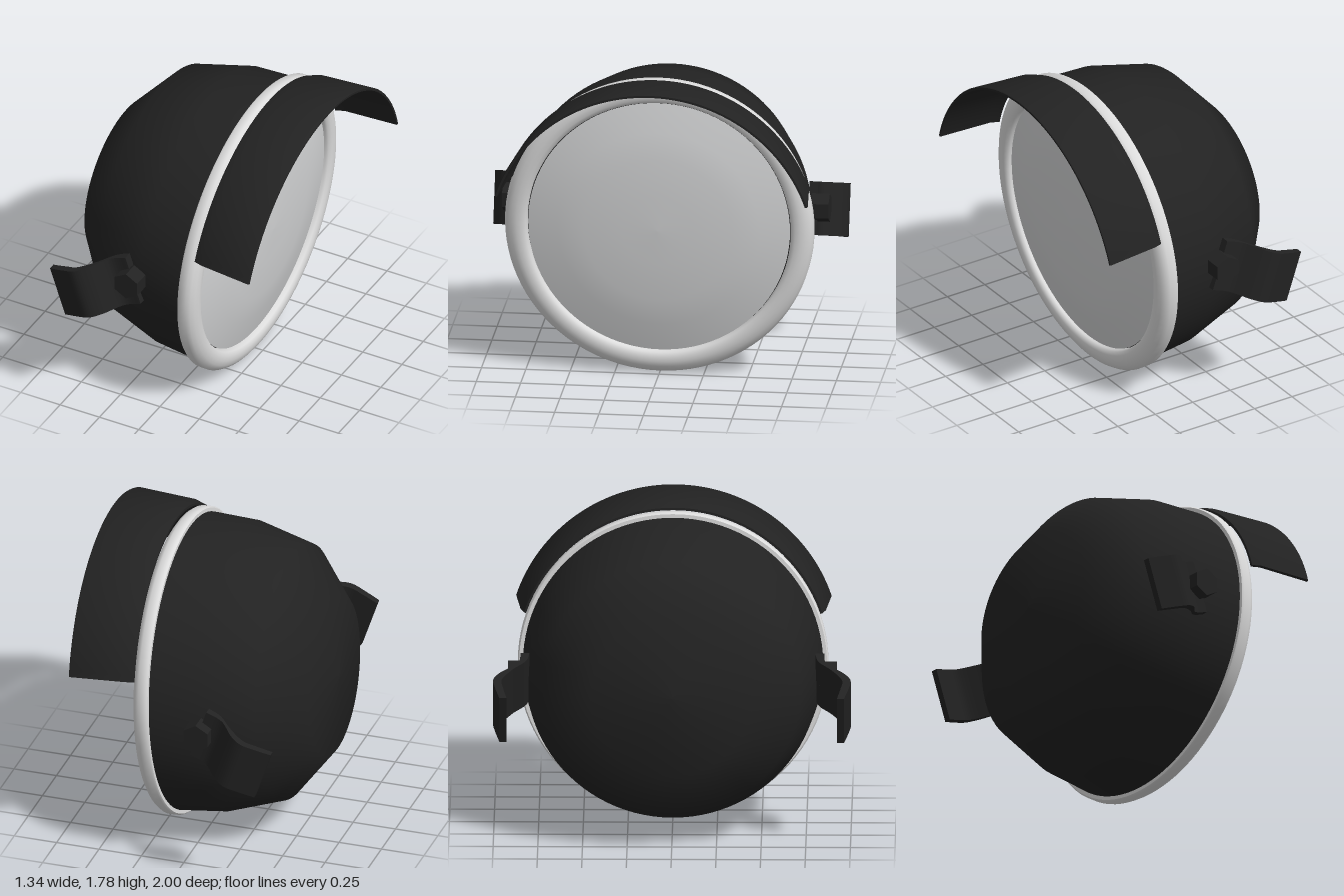
import * as THREE from 'three';
import { toCreasedNormals } from 'three/addons/utils/BufferGeometryUtils.js';

const TILT = -0.05; // the lamp looks slightly downward

function material(name, color) {
  const m = new THREE.MeshStandardMaterial({ color, side: THREE.DoubleSide });
  m.name = name;
  return m;
}

function addMesh(parent, name, geometry, mat) {
  const mesh = new THREE.Mesh(geometry, mat);
  mesh.name = name;
  parent.add(mesh);
  return mesh;
}

const toPoints = (list) => list.map(([a, b]) => new THREE.Vector2(a, b));

// Revolves (radius, along) points around the lamp axis, which runs along +x
function revolve(list, segments = 96, start = 0, length = Math.PI * 2) {
  return new THREE.LatheGeometry(toPoints(list), segments, start, length).rotateZ(-Math.PI / 2);
}

export function createModel() {
  const black = material('black housing', 0x222222);
  const chrome = material('pale metal', 0xdcdcdc);
  const glass = material('lens grey', 0xd2d3d4);

  const root = new THREE.Group();
  root.name = 'headlamp';

  const lamp = new THREE.Group();
  lamp.name = 'lampHead';
  lamp.position.set(0.215, 0.871, 0);
  lamp.rotation.z = TILT;
  root.add(lamp);

  // Bowl-shaped housing
  addMesh(lamp, 'housing', revolve([
    [0, -0.887], [0.454, -0.855], [0.725, -0.633], [0.821, -0.307], [0.842, -0.03],
  ]), black);

  // Rounded bezel ring
  addMesh(lamp, 'rim', toCreasedNormals(revolve([
    [0.8, -0.042], [0.862, -0.042], [0.87, -0.032], [0.87, 0.012], [0.855, 0.035],
    [0.83, 0.052], [0.8, 0.06], [0.77, 0.058], [0.75, 0.048], [0.743, 0.035], [0.743, 0],
  ]), 0.7), chrome);

  // Domed lens
  addMesh(lamp, 'lens', revolve([
    [0.738, 0.025], [0.57, 0.066], [0.42, 0.09], [0.2, 0.103], [0, 0.107],
  ]), glass);

  // Flared visor over the upper part of the lens, with closed ends
  const visorProfile = [
    [0.866, 0.038], [0.88, 0.038], [0.9, 0.09], [0.93, 0.398], [0.926, 0.406],
    [0.914, 0.406], [0.884, 0.09], [0.866, 0.038],
  ];
  const half = 1.252, top = Math.PI * 1.5;
  const visor = new THREE.Group();
  visor.name = 'visor';
  lamp.add(visor);
  addMesh(visor, 'visorShell',
    toCreasedNormals(revolve(visorProfile, 64, top - half, half * 2), 0.6), black);
  for (const phi of [top - half, top + half]) {
    const cap = new THREE.ShapeGeometry(new THREE.Shape(toPoints(visorProfile)));
    addMesh(visor, 'visorEnd', cap.rotateY(phi - Math.PI / 2).rotateZ(-Math.PI / 2), black);
  }

  // Curved mounting strap and hexagonal bolt on each side
  for (const side of [1, -1]) {
    const bracket = new THREE.Group();
    bracket.name = side > 0 ? 'leftBracket' : 'rightBracket';
    root.add(bracket);

    const at = (list) => toPoints(list.map(([s, z]) => [s, z * side]));
    const outline = new THREE.Shape();
    outline.moveTo(0, 0.965 * side);
    outline.splineThru(at([[0.1, 0.99], [0.18, 1], [0.25, 0.96], [0.34, 0.865], [0.441, 0.85]]));
    outline.lineTo(0.441, 0.8 * side);
    outline.splineThru(at([[0.36, 0.82], [0.275, 0.895], [0.18, 0.952], [0.1, 0.945], [0, 0.925]]));
    outline.closePath();
    const strap = new THREE.ExtrudeGeometry(outline, {
      depth: 0.3, bevelEnabled: false, curveSegments: 24,
    });
    strap.translate(0, 0, -0.15).rotateX(Math.PI / 2).rotateZ(0.328).translate(-0.535, 0.75, 0);
    addMesh(bracket, 'strap', toCreasedNormals(strap, 0.6), black);

    const bolt = new THREE.CylinderGeometry(0.0825, 0.0825, 0.1, 6);
    bolt.rotateX(Math.PI / 2).translate(-0.125, 0.895, 0.87 * side);
    addMesh(bracket, 'bolt', toCreasedNormals(bolt, 0.5), black);
  }

  return root;
}
